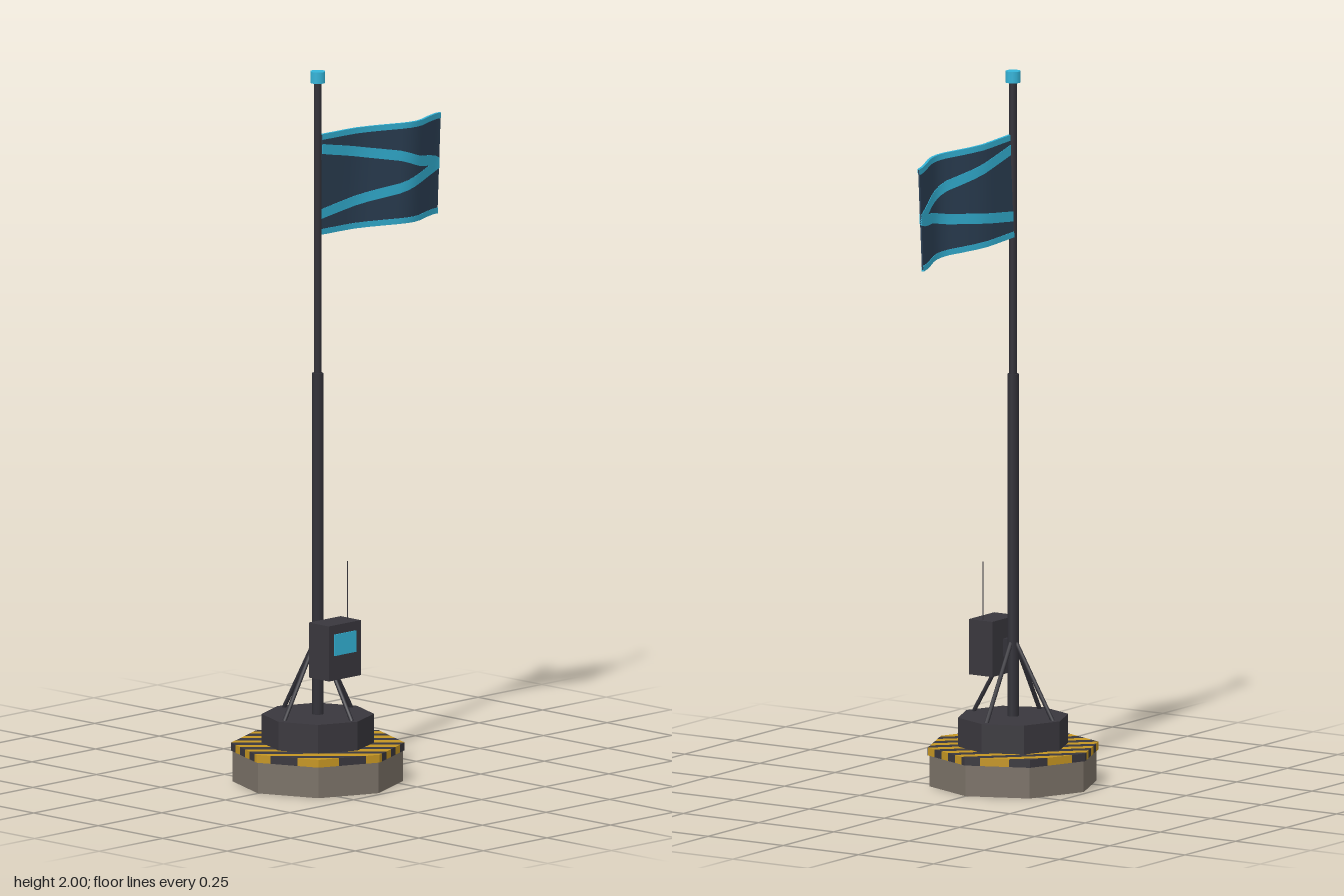
import * as THREE from 'three';

const mat = (name, color) => {
  const m = new THREE.MeshStandardMaterial({ color });
  m.name = name;
  return m;
};

export function createModel() {
  const concrete = mat('concrete', 0x7a7167);
  const gold = mat('hazard gold', 0xc49522);
  const dark = mat('dark metal', 0x39373d);
  const poleMetal = mat('pole metal', 0x323138);
  const cyan = mat('cyan', 0x34b4d8);
  const clothBlue = mat('cloth navy', 0x2c4055);

  const model = new THREE.Group();
  model.name = 'flagStation';
  // everything except the flag is centred on the pole
  const station = new THREE.Group();
  station.name = 'station';
  station.position.x = -0.137;
  model.add(station);

  const add = (parent, name, geometry, material, x = 0, y = 0, z = 0) => {
    const mesh = new THREE.Mesh(geometry, material);
    mesh.name = name;
    mesh.position.set(x, y, z);
    parent.add(mesh);
    return mesh;
  };
  const faceted = (g) => {
    const flat = g.toNonIndexed();
    flat.computeVertexNormals();
    return flat;
  };
  const column = (name, r, y0, y1, sides, material, flat = false) => {
    const g = new THREE.CylinderGeometry(r, r, y1 - y0, sides);
    return add(station, name, flat ? faceted(g) : g, material, 0, (y0 + y1) / 2, 0);
  };

  // octagonal base and plinth
  column('concreteBase', 0.235, 0, 0.088, 8, concrete, true);
  column('plinth', 0.155, 0.1, 0.19, 8, dark, true);

  // hazard slab: an octagon cut into diagonal bands of alternating colour
  const octagon = Array.from({ length: 8 }, (_, i) =>
    new THREE.Vector2(Math.cos(i * Math.PI / 4), Math.sin(i * Math.PI / 4)).multiplyScalar(0.24));
  const across = (p) => (p.x + p.y) * Math.SQRT1_2;
  const clip = (points, limit, sign) => {
    const out = [];
    points.forEach((a, i) => {
      const b = points[(i + 1) % points.length];
      const da = sign * (across(a) - limit), db = sign * (across(b) - limit);
      if (da >= 0) out.push(a);
      if (da * db < 0) out.push(a.clone().lerp(b, da / (da - db)));
    });
    return out;
  };
  const band = 0.031;
  for (let i = -2; i < 14; i++) {
    const start = -0.17 - band / 2 + i * band;
    const points = clip(clip(octagon, start, 1), start + band, -1);
    if (points.length < 3) continue;
    const g = new THREE.ExtrudeGeometry(new THREE.Shape(points), { depth: 0.022, bevelEnabled: false });
    g.rotateX(-Math.PI / 2);
    add(station, 'hazardBand', g, i % 2 === 0 ? gold : dark, 0, 0.087, 0);
  }

  // telescopic pole with cap
  column('lowerPole', 0.016, 0.18, 1.15, 10, poleMetal);
  column('upperPole', 0.011, 1.15, 1.975, 10, poleMetal);
  column('poleCap', 0.021, 1.968, 2, 12, cyan);

  // four braces
  const up = new THREE.Vector3(0, 1, 0);
  for (let i = 0; i < 4; i++) {
    const a = i * Math.PI / 2;
    const foot = new THREE.Vector3(Math.cos(a) * 0.132, 0.188, Math.sin(a) * 0.132);
    const head = new THREE.Vector3(Math.cos(a) * 0.008, 0.4, Math.sin(a) * 0.008);
    const dir = head.clone().sub(foot);
    const brace = add(station, 'brace', new THREE.CylinderGeometry(0.006, 0.006, dir.length(), 8), poleMetal);
    brace.position.copy(foot).add(head).multiplyScalar(0.5);
    brace.quaternion.setFromUnitVectors(up, dir.normalize());
  }

  // control box with bracket, screen and antenna
  add(station, 'controlBox', new THREE.BoxGeometry(0.125, 0.155, 0.078), dark, 0, 0.3825, 0.066);
  add(station, 'boxBracket', new THREE.BoxGeometry(0.02, 0.05, 0.03), poleMetal, 0, 0.38, 0.02);
  add(station, 'screen', new THREE.BoxGeometry(0.086, 0.06, 0.004), cyan, 0, 0.404, 0.106);
  add(station, 'antenna', new THREE.CylinderGeometry(0.002, 0.002, 0.165, 6), poleMetal, 0.049, 0.54, 0.067);

  // waving flag: every layer is a slab bent along the same wave
  const flag = new THREE.Group();
  flag.name = 'flag';
  model.add(flag);
  const x0 = -0.125, x1 = 0.375;
  const wave = new THREE.SplineCurve([
    [-0.125, -0.002], [-0.05, -0.007], [0.02, -0.011], [0.09, 0], [0.165, 0.019],
    [0.21, 0.021], [0.255, 0.01], [0.335, -0.026], [0.375, -0.037],
  ].map(([x, z]) => new THREE.Vector2(x, z)));
  const layer = (name, lowAt, highAt, thickness, material) => {
    const g = new THREE.BoxGeometry(1, 1, 1, 12, 1, 1);
    const p = g.attributes.position;
    for (let i = 0; i < p.count; i++) {
      const u = p.getX(i) + 0.5;
      const y = THREE.MathUtils.lerp(lowAt(u), highAt(u), p.getY(i) + 0.5);
      const w = wave.getPoint(u);
      const lean = (y - 1.68) * 0.045;
      p.setXYZ(i, THREE.MathUtils.clamp(w.x, x0, x1), y - 0.016 * u, w.y + lean + p.getZ(i) * thickness);
    }
    g.computeVertexNormals();
    add(flag, name, g, material);
  };
  const line = (a, b) => (u) => a + (b - a) * u;
  layer('cloth', line(1.54, 1.54), line(1.819, 1.819), 0.005, clothBlue);
  layer('topTrim', line(1.806, 1.806), line(1.822, 1.822), 0.008, cyan);
  layer('bottomTrim', line(1.536, 1.536), line(1.552, 1.552), 0.008, cyan);
  layer('upperChevron', line(1.766, 1.664), line(1.794, 1.694), 0.0075, cyan);
  layer('lowerChevron', line(1.58, 1.664), line(1.608, 1.694), 0.007, cyan);

  return model;
}
